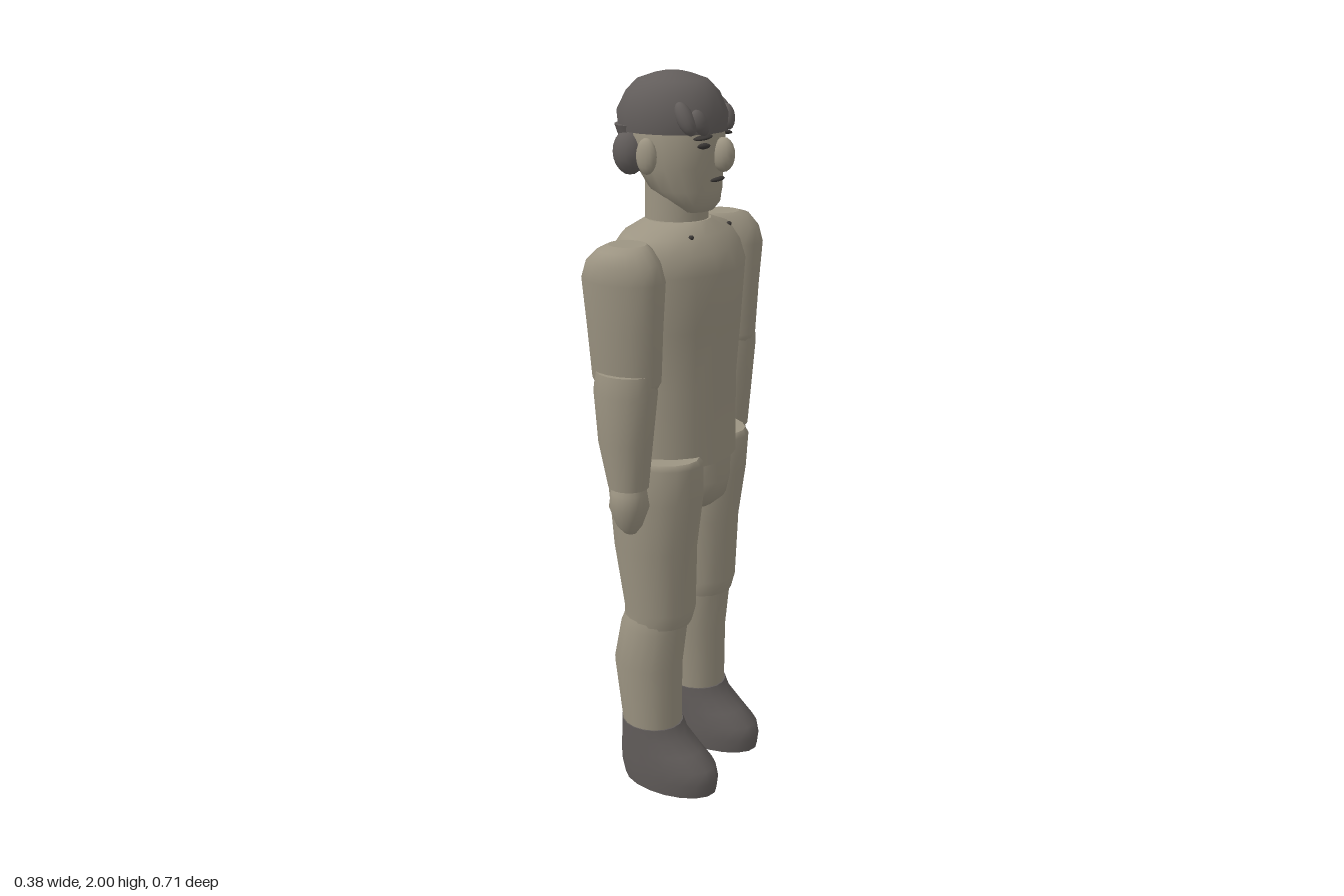
import * as THREE from 'three';

const SIDES = 18;
const skin = new THREE.MeshStandardMaterial({ color: 0x9c9482 });
skin.name = 'warm grey';
const dark = new THREE.MeshStandardMaterial({ color: 0x625d5b });
dark.name = 'dark grey';
const ink = new THREE.MeshStandardMaterial({ color: 0x3a3735 });
ink.name = 'feature black';

// Closed smooth body through elliptical rings [y, xMin, xMax, zMin, zMax], with sharp flat caps
function loft(name, rings, material) {
  const pos = [], idx = [];
  const addRing = ([y, x0, x1, z0, z1]) => {
    for (let i = 0; i < SIDES; i++) {
      const a = (i / SIDES) * Math.PI * 2;
      pos.push((x0 + x1) / 2 + ((x1 - x0) / 2) * Math.cos(a), y, (z0 + z1) / 2 + ((z1 - z0) / 2) * Math.sin(a));
    }
  };
  rings.forEach(addRing);
  for (let r = 0; r < rings.length - 1; r++) {
    for (let i = 0; i < SIDES; i++) {
      const a = r * SIDES + i, b = r * SIDES + ((i + 1) % SIDES);
      idx.push(a, a + SIDES, b, b, a + SIDES, b + SIDES);
    }
  }
  [[rings[0], false], [rings[rings.length - 1], true]].forEach(([ring, top]) => {
    const s = pos.length / 3;
    addRing(ring);
    for (let i = 1; i < SIDES - 1; i++) {
      if (top) idx.push(s, s + i + 1, s + i);
      else idx.push(s, s + i, s + i + 1);
    }
  });
  const g = new THREE.BufferGeometry();
  g.setAttribute('position', new THREE.Float32BufferAttribute(pos, 3));
  g.setIndex(idx);
  g.computeVertexNormals();
  const mesh = new THREE.Mesh(g, material);
  mesh.name = name;
  return mesh;
}

function blob(name, center, radii, material, tilt = [0, 0, 0]) {
  const mesh = new THREE.Mesh(new THREE.SphereGeometry(1, 14, 10), material);
  mesh.name = name;
  mesh.position.set(...center);
  mesh.scale.set(...radii);
  mesh.rotation.set(...tilt);
  return mesh;
}

export function createModel() {
  const model = new THREE.Group();
  model.name = 'figure';

  // Trunk, with the face and chest towards +x
  model.add(loft('torso', [
    [0.985, -0.18, 0.145, -0.185, 0.185],
    [1.2, -0.178, 0.142, -0.185, 0.185],
    [1.36, -0.184, 0.152, -0.2, 0.2],
    [1.51, -0.19, 0.16, -0.215, 0.215],
    [1.56, -0.172, 0.14, -0.21, 0.21],
    [1.6, -0.14, 0.11, -0.19, 0.19],
    [1.63, -0.095, 0.075, -0.09, 0.09],
  ], skin));
  model.add(loft('pelvis', [
    [0.835, -0.12, 0.09, -0.07, 0.07],
    [0.87, -0.165, 0.13, -0.1, 0.1],
    [0.92, -0.172, 0.14, -0.112, 0.112],
    [1.01, -0.172, 0.142, -0.115, 0.115],
  ], skin));
  model.add(loft('neck', [
    [1.58, -0.102, 0.07, -0.08, 0.08],
    [1.74, -0.1, 0.068, -0.078, 0.078],
  ], skin));

  // Head and hair cap
  const head = new THREE.Group();
  head.name = 'head';
  head.add(loft('face', [
    [1.655, 0.02, 0.085, -0.055, 0.055],
    [1.675, -0.01, 0.1, -0.078, 0.078],
    [1.71, -0.08, 0.106, -0.1, 0.1],
    [1.77, -0.12, 0.107, -0.118, 0.118],
    [1.85, -0.145, 0.112, -0.123, 0.123],
    [1.92, -0.13, 0.09, -0.1, 0.1],
  ], skin));
  head.add(loft('hair', [
    [1.855, -0.172, 0.116, -0.127, 0.127],
    [1.9, -0.177, 0.12, -0.13, 0.13],
    [1.95, -0.15, 0.097, -0.113, 0.113],
    [1.98, -0.12, 0.067, -0.085, 0.085],
    [1.995, -0.075, 0.02, -0.045, 0.045],
    [2.0, -0.05, 0.0, -0.02, 0.02],
  ], dark));
  head.add(loft('hairNape', [
    [1.8, -0.14, -0.07, -0.095, 0.095],
    [1.87, -0.17, -0.05, -0.115, 0.115],
  ], dark));
  head.add(blob('nose', [0.12, 1.8, 0], [0.031, 0.044, 0.025], skin));
  head.add(blob('mouth', [0.102, 1.737, 0], [0.014, 0.006, 0.035], ink));
  model.add(head);

  for (const s of [-1, 1]) {
    // Rings are written for the +z side and mirrored
    const limb = (name, rings, mat = skin) => model.add(loft(name,
      rings.map(([y, x0, x1, zi, zo]) => (s > 0 ? [y, x0, x1, zi, zo] : [y, x0, x1, -zo, -zi])), mat));

    // Facial features and hair tufts
    head.add(blob('ear', [-0.034, 1.8, s * 0.122], [0.029, 0.046, 0.018], skin));
    head.add(blob('brow', [0.092, 1.848, s * 0.06], [0.02, 0.006, 0.028], ink, [s * 0.15, s * -0.5, 0]));
    head.add(blob('eye', [0.092, 1.826, s * 0.055], [0.01, 0.008, 0.02], ink, [0, s * -0.5, 0]));
    head.add(blob('hairKnob', [-0.102, 1.803, s * 0.09], [0.045, 0.058, 0.04], dark));
    head.add(blob('templeTuft', [0.065, 1.895, s * 0.1], [0.022, 0.045, 0.022], dark, [0, 0, 0.5]));
    head.add(blob('fringeTuft', [0.093, 1.885, s * 0.075], [0.018, 0.035, 0.022], dark, [s * 0.4, 0, 0.3]));
    model.add(blob('collarDot', [0.085, 1.603, s * 0.105], [0.007, 0.006, 0.007], ink));

    // Arm
    limb('upperArm', [
      [1.235, -0.095, 0.07, 0.215, 0.325],
      [1.26, -0.107, 0.084, 0.207, 0.333],
      [1.4, -0.117, 0.09, 0.2, 0.345],
      [1.52, -0.127, 0.098, 0.194, 0.356],
      [1.565, -0.112, 0.084, 0.196, 0.353],
      [1.595, -0.082, 0.057, 0.203, 0.335],
      [1.605, -0.063, 0.035, 0.208, 0.3],
    ]);
    limb('forearm', [
      [0.975, -0.053, 0.055, 0.238, 0.34],
      [1.1, -0.082, 0.066, 0.222, 0.351],
      [1.23, -0.094, 0.078, 0.21, 0.356],
      [1.285, -0.088, 0.075, 0.21, 0.35],
    ]);
    limb('hand', [
      [0.845, -0.012, 0.022, 0.275, 0.305],
      [0.865, -0.032, 0.036, 0.255, 0.322],
      [0.92, -0.052, 0.056, 0.237, 0.341],
      [0.96, -0.046, 0.05, 0.243, 0.336],
      [1.0, -0.03, 0.04, 0.26, 0.32],
    ]);

    // Leg and shoe
    limb('thigh', [
      [0.515, -0.105, 0.088, 0.035, 0.21],
      [0.56, -0.105, 0.1, 0.028, 0.215],
      [0.75, -0.132, 0.105, 0.02, 0.232],
      [0.9, -0.145, 0.125, 0.018, 0.24],
      [1.0, -0.15, 0.13, 0.03, 0.24],
      [1.015, -0.14, 0.12, 0.045, 0.23],
    ]);
    limb('shin', [
      [0.14, -0.1, 0.06, 0.058, 0.21],
      [0.2, -0.112, 0.064, 0.054, 0.213],
      [0.38, -0.135, 0.065, 0.046, 0.22],
      [0.5, -0.113, 0.078, 0.042, 0.217],
      [0.55, -0.095, 0.08, 0.042, 0.208],
    ]);
    limb('shoe', [
      [0, -0.108, 0.182, 0.052, 0.216],
      [0.04, -0.118, 0.187, 0.048, 0.22],
      [0.08, -0.12, 0.178, 0.048, 0.22],
      [0.12, -0.117, 0.13, 0.049, 0.219],
      [0.16, -0.114, 0.085, 0.05, 0.217],
      [0.195, -0.114, 0.068, 0.051, 0.216],
    ], dark);
  }
  return model;
}
